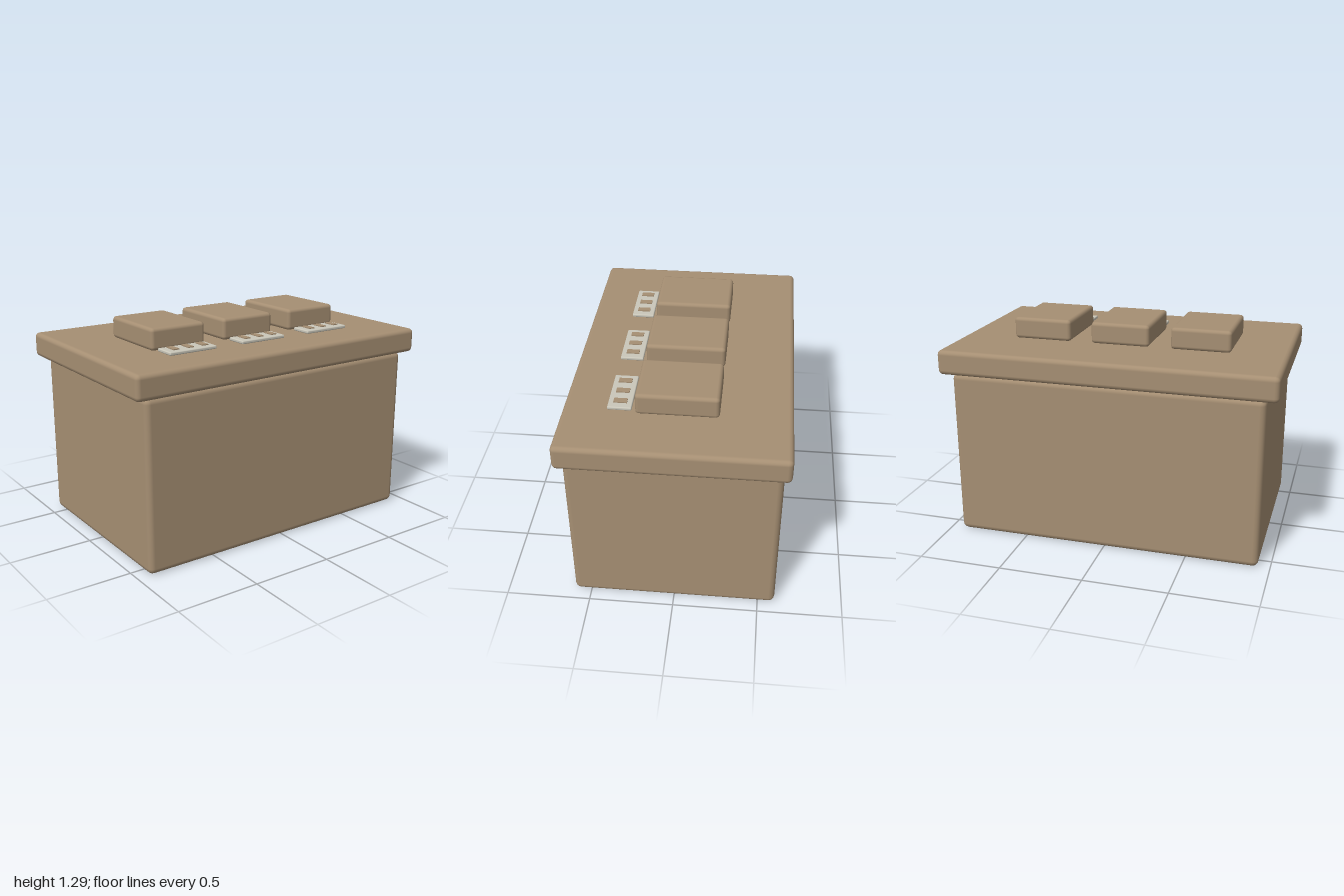
import * as THREE from 'three';
import { RoundedBoxGeometry } from 'three/addons/geometries/RoundedBoxGeometry.js';

export function createModel() {
  const model = new THREE.Group();
  model.name = 'batteryBox';
  const brown = new THREE.MeshStandardMaterial({ color: 0xa68f73 });
  brown.name = 'brown casing';
  const pale = new THREE.MeshStandardMaterial({ color: 0xcac7ba });
  pale.name = 'pale plate';

  // Rounded block given its size, base height and centre in x and z
  function block(parent, name, material, [w, h, d], radius, x, base, z) {
    const mesh = new THREE.Mesh(new RoundedBoxGeometry(w, h, d, 2, radius), material);
    mesh.name = name;
    mesh.position.set(x, base + h / 2, z);
    parent.add(mesh);
    return mesh;
  }

  // Casing and overhanging lid
  block(model, 'body', brown, [1.86, 1.015, 1.2], 0.035, 0, 0, 0);
  block(model, 'lid', brown, [2, 0.148, 1.274], 0.028, 0, 1.013, 0);

  // Three caps, each with a slotted plate in front
  ['right', 'middle', 'left'].forEach((side, i) => {
    const cell = new THREE.Group();
    cell.name = side + 'Cell';
    cell.position.x = (i - 1) * 0.49;
    model.add(cell);
    block(cell, 'cap', brown, [0.36, 0.13, 0.464], 0.022, 0, 1.16, -0.002);
    block(cell, 'plate', pale, [0.31, 0.02, 0.136], 0.007, 0, 1.163, 0.32);

    // Thin raised marks on the plate
    for (const x of [-0.096, 0, 0.096]) {
      const mark = new THREE.Mesh(new THREE.BoxGeometry(0.038, 0.006, 0.076), brown);
      mark.name = 'mark';
      mark.position.set(x, 1.188, 0.32);
      cell.add(mark);
    }
  });
  return model;
}
